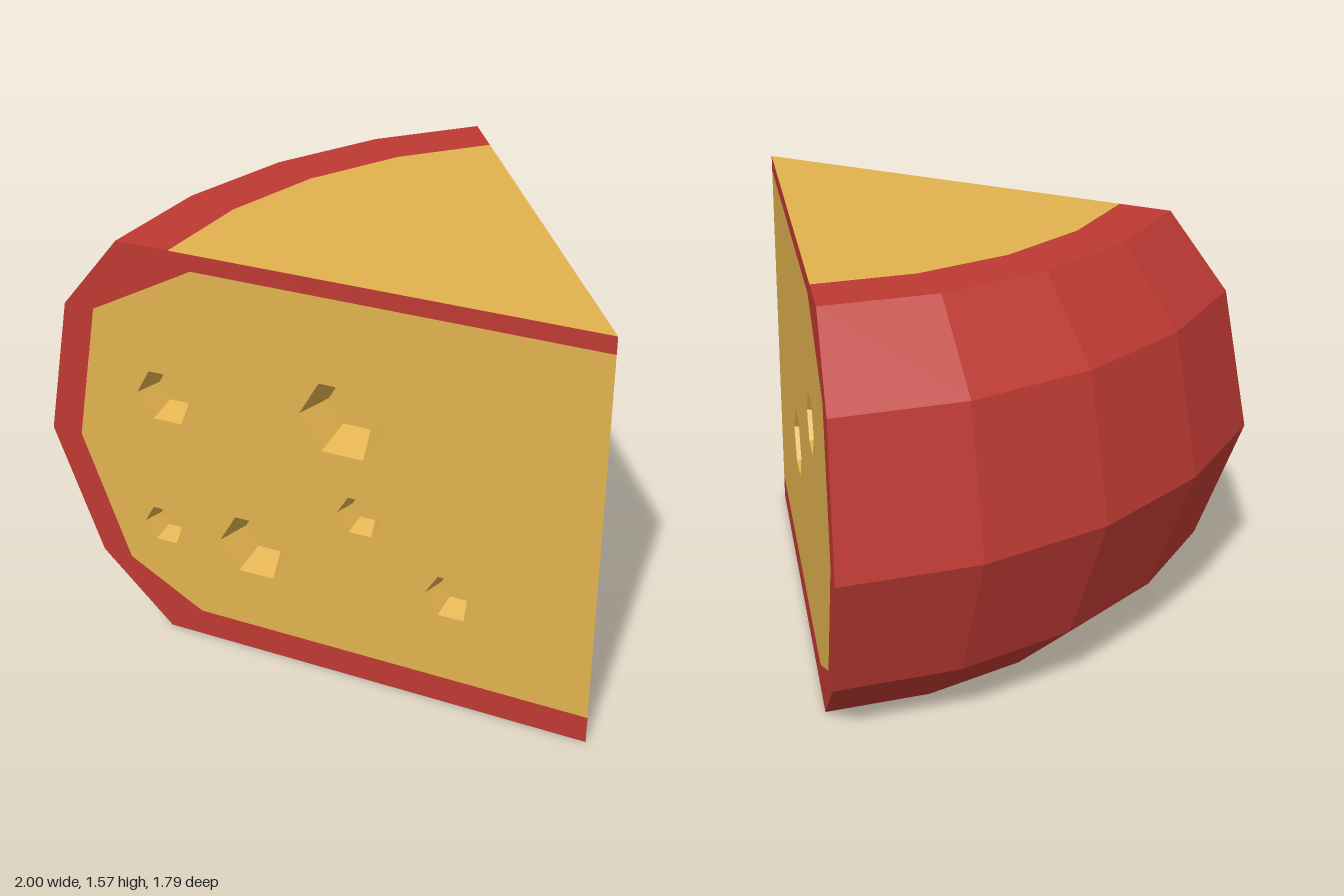
import * as THREE from 'three';

const yellow = new THREE.MeshStandardMaterial({ color: 0xe2b24e, flatShading: true });
yellow.name = 'cheese yellow';
const red = new THREE.MeshStandardMaterial({ color: 0xbf3a33, flatShading: true });
red.name = 'rind red';

// The wedge is a sector turned about its tip
const TIP = [1, 0, 0.51];
const BACK = THREE.MathUtils.degToRad(44.9);
const FRONT = THREE.MathUtils.degToRad(-10.9);
const HEIGHT = 1.57;

// Cross-sections as [distance from tip, height]
const rindProfile = [[1.6, 0], [1.858, 0.28], [2.004, 0.78], [1.88, 1.3], [1.65, HEIGHT]];
const cheeseProfile = [[0, 0.11], [1.465, 0.11], [1.743, 0.28], [1.888, 0.78], [1.77, 1.3], [1.385, 1.51], [0, 1.51]];

// Holes as [distance from tip, height, radius]
const frontHoles = [
  [1.527, 1.01, 0.107], [0.876, 1.07, 0.148], [0.82, 0.71, 0.081],
  [1.583, 0.465, 0.08], [1.227, 0.465, 0.133], [0.494, 0.465, 0.093],
];
const backHoles = [[0.804, 0.68, 0.136], [1.347, 1.025, 0.11]];

const vectors = (points) => points.map(([x, y]) => new THREE.Vector2(x, y));

function addMesh(parent, name, geometry, material) {
  const mesh = new THREE.Mesh(geometry, material);
  mesh.name = name;
  parent.add(mesh);
  return mesh;
}

// Surface swept around the tip in four flat facets
function sweep(points) {
  return new THREE.LatheGeometry(vectors(points), 4, -Math.PI / 2 - BACK, BACK - FRONT).toNonIndexed();
}

// Hexagonal pit with sloping walls and a flat floor
function pit(radius) {
  const depth = radius * 0.8, floor = radius * 0.67;
  return new THREE.LatheGeometry(vectors([[radius, 0], [floor, -depth], [0, -depth]]), 6, Math.PI / 2)
    .rotateX(Math.PI / 2).toNonIndexed();
}

// Flat cut side: rind border, cheese with openings, and the pits behind them
function cutSide(name, holes, sign, turn) {
  const group = new THREE.Group();
  group.name = name;
  const flip = (points) => vectors(points.map(([d, y]) => [sign * d, y]));

  const border = [[0, 0], ...rindProfile, [0, HEIGHT], ...[...cheeseProfile].reverse()];
  addMesh(group, 'rindBorder', new THREE.ShapeGeometry(new THREE.Shape(flip(border))), red);

  const face = new THREE.Shape(flip(cheeseProfile));
  for (const [d, y, r] of holes) {
    const corners = [];
    for (let i = 0; i < 6; i++) {
      const a = i * Math.PI / 3;
      corners.push(new THREE.Vector2(sign * d + r * Math.cos(a), y + r * Math.sin(a)));
    }
    face.holes.push(new THREE.Path(corners));
    addMesh(group, 'cheeseHole', pit(r), yellow).position.set(sign * d, y, 0);
  }
  addMesh(group, 'cheeseFace', new THREE.ShapeGeometry(face), yellow);

  group.rotation.y = turn;
  return group;
}

export function createModel() {
  const model = new THREE.Group();
  model.name = 'cheeseWedge';
  const wedge = new THREE.Group();
  wedge.name = 'wedge';
  wedge.position.set(...TIP);
  model.add(wedge);

  // Rind: underside, bulging outer side and rim of the top
  addMesh(wedge, 'rind', sweep([[0, 0], ...rindProfile, [1.46, HEIGHT]]), red);
  addMesh(wedge, 'cheeseTop', sweep([[1.46, HEIGHT], [0, HEIGHT]]), yellow);

  wedge.add(cutSide('frontCut', frontHoles, -1, -FRONT));
  wedge.add(cutSide('backCut', backHoles, 1, Math.PI - BACK));
  return model;
}
